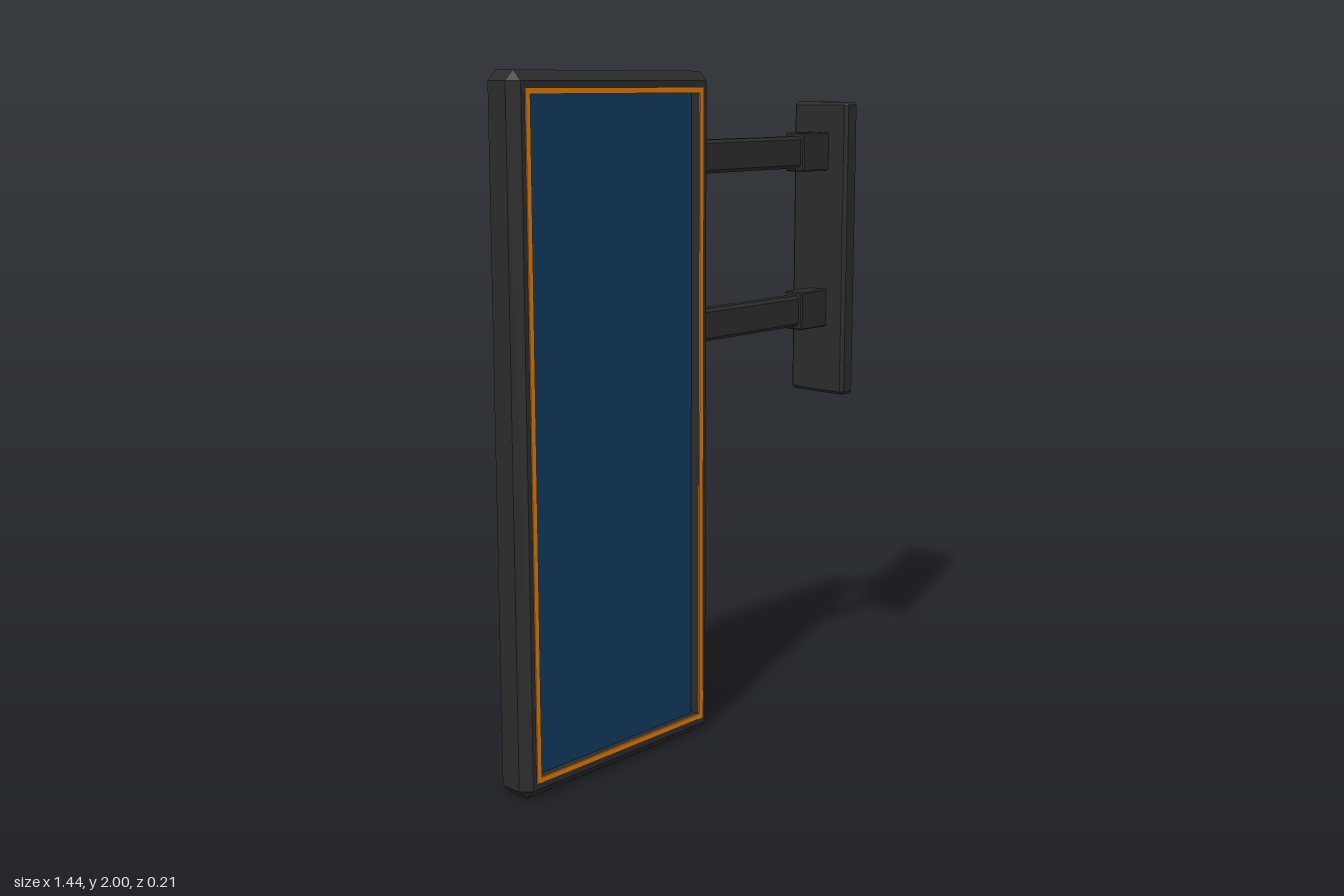
import * as THREE from 'three';

// Eight-cornered rectangular ring, counter-clockwise seen from the front
function ring(hx, hy, c, z) {
  return [
    [hx, -hy + c, z], [hx, hy - c, z], [hx - c, hy, z], [-hx + c, hy, z],
    [-hx, hy - c, z], [-hx, -hy + c, z], [-hx + c, -hy, z], [hx - c, -hy, z],
  ];
}

// Flat-faced skin through a row of rings, capped at both ends
function loft(rings) {
  const pos = [];
  const v = new THREE.Vector3(), w = new THREE.Vector3();
  const tri = (a, b, c) => {
    v.set(b[0] - a[0], b[1] - a[1], b[2] - a[2]);
    w.set(c[0] - a[0], c[1] - a[1], c[2] - a[2]);
    if (v.cross(w).length() > 1e-9) pos.push(...a, ...b, ...c);
  };
  for (let r = 0; r < rings.length - 1; r++) {
    const p = rings[r], q = rings[r + 1];
    for (let i = 0; i < 8; i++) {
      const j = (i + 1) % 8;
      tri(p[i], p[j], q[j]);
      tri(p[i], q[j], q[i]);
    }
  }
  const first = rings[0], last = rings[rings.length - 1];
  for (let i = 1; i < 7; i++) {
    tri(first[0], first[i + 1], first[i]);
    tri(last[0], last[i], last[i + 1]);
  }
  const geo = new THREE.BufferGeometry();
  geo.setAttribute('position', new THREE.Float32BufferAttribute(pos, 3));
  geo.computeVertexNormals();
  return geo;
}

// Rings of a box with chamfered edges and corners
function chamferRings(hx, hy, hz, c) {
  return [
    ring(hx - c, hy - c, 0, -hz), ring(hx, hy, c, -hz + c),
    ring(hx, hy, c, hz - c), ring(hx - c, hy - c, 0, hz),
  ];
}

export function createModel() {
  const model = new THREE.Group();
  const material = (name, color) => {
    const m = new THREE.MeshStandardMaterial({ color });
    m.name = name;
    return m;
  };
  const darkMetal = material('dark metal', 0x2b2b2b);
  const blue = material('screen blue', 0x10395d);
  const orange = material('trim orange', 0xd97a0c);

  const add = (name, geo, mat, x, y, z = 0) => {
    const mesh = new THREE.Mesh(geo, mat);
    mesh.name = name;
    mesh.position.set(x, y, z);
    model.add(mesh);
  };
  const chamferBox = (name, x0, x1, y0, y1, hz, c) => add(
    name, loft(chamferRings((x1 - x0) / 2, (y1 - y0) / 2, hz, c)),
    darkMetal, (x0 + x1) / 2, (y0 + y1) / 2);

  // Sign casing with a recess in its front
  const cx = -0.337, hz = 0.062;
  add('casing', loft([
    ...chamferRings(0.386, 1, hz, 0.028),
    ring(0.328, 0.938, 0, hz), ring(0.328, 0.938, 0, 0.015),
  ]), darkMetal, cx, 1);

  // Screen inside the recess
  add('screen', new THREE.BoxGeometry(0.636, 1.876, 0.025), blue, cx, 1, 0.0275);

  // Thin trim around the recess
  const rect = (Type, hx, hy) => new Type([
    new THREE.Vector2(-hx, -hy), new THREE.Vector2(hx, -hy),
    new THREE.Vector2(hx, hy), new THREE.Vector2(-hx, hy),
  ]);
  const trim = rect(THREE.Shape, 0.344, 0.954);
  trim.holes.push(rect(THREE.Path, 0.328, 0.938));
  add('trim', new THREE.ExtrudeGeometry(trim, { depth: 0.004, bevelEnabled: false }),
    orange, cx, 1, hz - 0.001);

  // Wall plate
  chamferBox('wallPlate', 0.63, 0.69, 0.975, 1.907, 0.106, 0.01);

  // Arms running through sleeves and the wall plate
  for (const [side, y] of [['upper', 1.753], ['lower', 1.254]]) {
    chamferBox(side + 'Arm', -0.025, 0.72, y - 0.049, y + 0.049, 0.024, 0.01);
    chamferBox(side + 'Sleeve', 0.505, 0.645, y - 0.06, y + 0.06, 0.036, 0.004);
  }

  return model;
}
